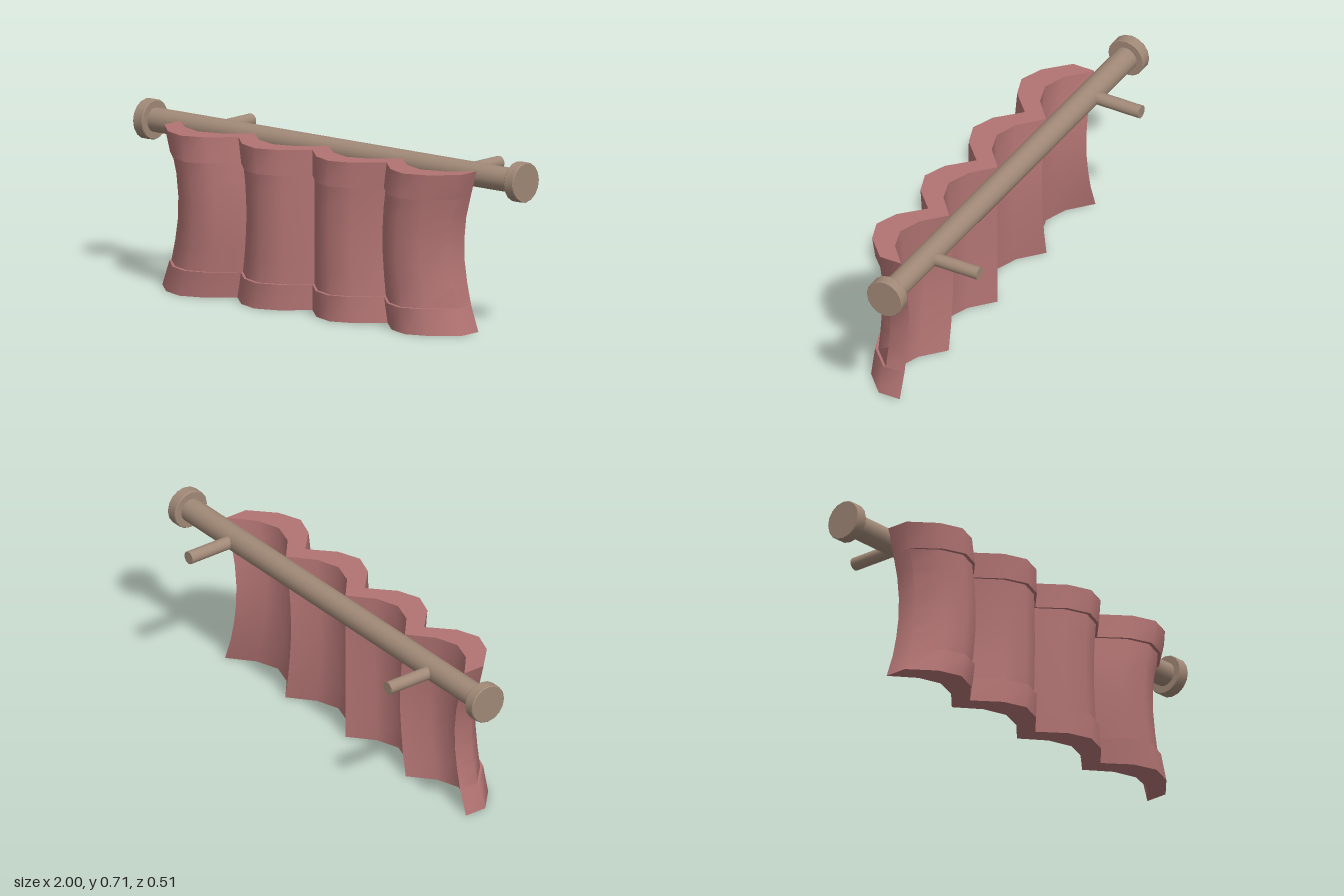
import * as THREE from 'three';
import { toCreasedNormals } from 'three/addons/utils/BufferGeometryUtils.js';

const FOLDS = 4;
// One scallop: fraction across, bulge depth (0 at the crease, 1 at the crest)
const SCALLOP = [[0, 0], [0.25, 0.72], [0.5, 1], [0.75, 0.72]];
// Rows from hem to top: height, half width, front crease z, front crest z
const ROWS = [
  [0, 0.79, 0.13, 0.257],
  [0.105, 0.752, 0.13, 0.257],
  [0.105, 0.752, 0.118, 0.241],
  [0.19, 0.732, 0.118, 0.241],
  [0.28, 0.718, 0.118, 0.241],
  [0.37, 0.716, 0.118, 0.241],
  [0.46, 0.726, 0.118, 0.241],
  [0.55, 0.75, 0.118, 0.241],
  [0.55, 0.75, 0.13, 0.257],
  [0.655, 0.78, 0.13, 0.257],
];

function curtainGeometry() {
  // Scalloped line across the whole curtain, x from -1 to 1
  const line = [];
  for (let f = 0; f < FOLDS; f++) {
    for (const [t, d] of SCALLOP) line.push([((f + t) / FOLDS) * 2 - 1, d]);
  }
  line.push([1, 0]);
  const n = line.length;

  // Closed ring per row: front left to right, then back right to left
  const rings = ROWS.map(([y, w, crease, crest]) => {
    const front = line.map(([x, d]) => [x * w, y, crease + (crest - crease) * d]);
    const back = line.map(([x, d]) => [x * w, y, 0.033 + 0.115 * d]);
    return front.concat(back.reverse());
  });

  const pos = [];
  const quad = (a, b, c, d) => pos.push(...a, ...b, ...c, ...a, ...c, ...d);
  for (let r = 0; r < rings.length - 1; r++) {
    const lo = rings[r], hi = rings[r + 1];
    for (let i = 0; i < 2 * n; i++) {
      const j = (i + 1) % (2 * n);
      // Band steps exist only on the front and the ends
      if (ROWS[r][0] === ROWS[r + 1][0] && i >= n - 1) continue;
      quad(lo[i], lo[j], hi[j], hi[i]);
    }
  }
  // Top and hem faces
  const bottom = rings[0], top = rings[rings.length - 1];
  for (let i = 0; i < n - 1; i++) {
    const k = 2 * n - 1 - i;
    quad(top[i], top[i + 1], top[k - 1], top[k]);
    quad(bottom[k], bottom[k - 1], bottom[i + 1], bottom[i]);
  }
  const g = new THREE.BufferGeometry();
  g.setAttribute('position', new THREE.Float32BufferAttribute(pos, 3));
  return toCreasedNormals(g, 0.8);
}

export function createModel() {
  const group = new THREE.Group();
  const wood = new THREE.MeshStandardMaterial({ color: 0xa18977 });
  wood.name = 'tan wood';
  const cloth = new THREE.MeshStandardMaterial({ color: 0xb27473 });
  cloth.name = 'dusty rose cloth';

  const add = (name, geometry, material, x, y, z) => {
    const mesh = new THREE.Mesh(geometry, material);
    mesh.name = name;
    mesh.position.set(x, y, z);
    group.add(mesh);
  };

  const rodY = 0.63, rodZ = -0.015;
  add('curtain', curtainGeometry(), cloth, 0, 0, 0);
  add('rod', new THREE.CylinderGeometry(0.05, 0.05, 1.92, 16).rotateZ(Math.PI / 2), wood, 0, rodY, rodZ);

  for (const [side, s] of [['left', 1], ['right', -1]]) {
    // End knob with slightly softened rims
    const profile = [[0, -0.025], [0.079, -0.025], [0.082, -0.021], [0.082, 0.021], [0.079, 0.025], [0, 0.025]]
      .map(([r, y]) => new THREE.Vector2(r, y));
    const knob = toCreasedNormals(new THREE.LatheGeometry(profile, 16).rotateZ(Math.PI / 2), 0.6);
    add(side + 'Knob', knob, wood, s * 0.975, rodY, rodZ);
    // Wall bracket running back from the rod
    const bracket = new THREE.CylinderGeometry(0.027, 0.027, 0.237, 16).rotateX(Math.PI / 2);
    add(side + 'Bracket', bracket, wood, s * 0.653, rodY, -0.1385);
  }
  return group;
}
